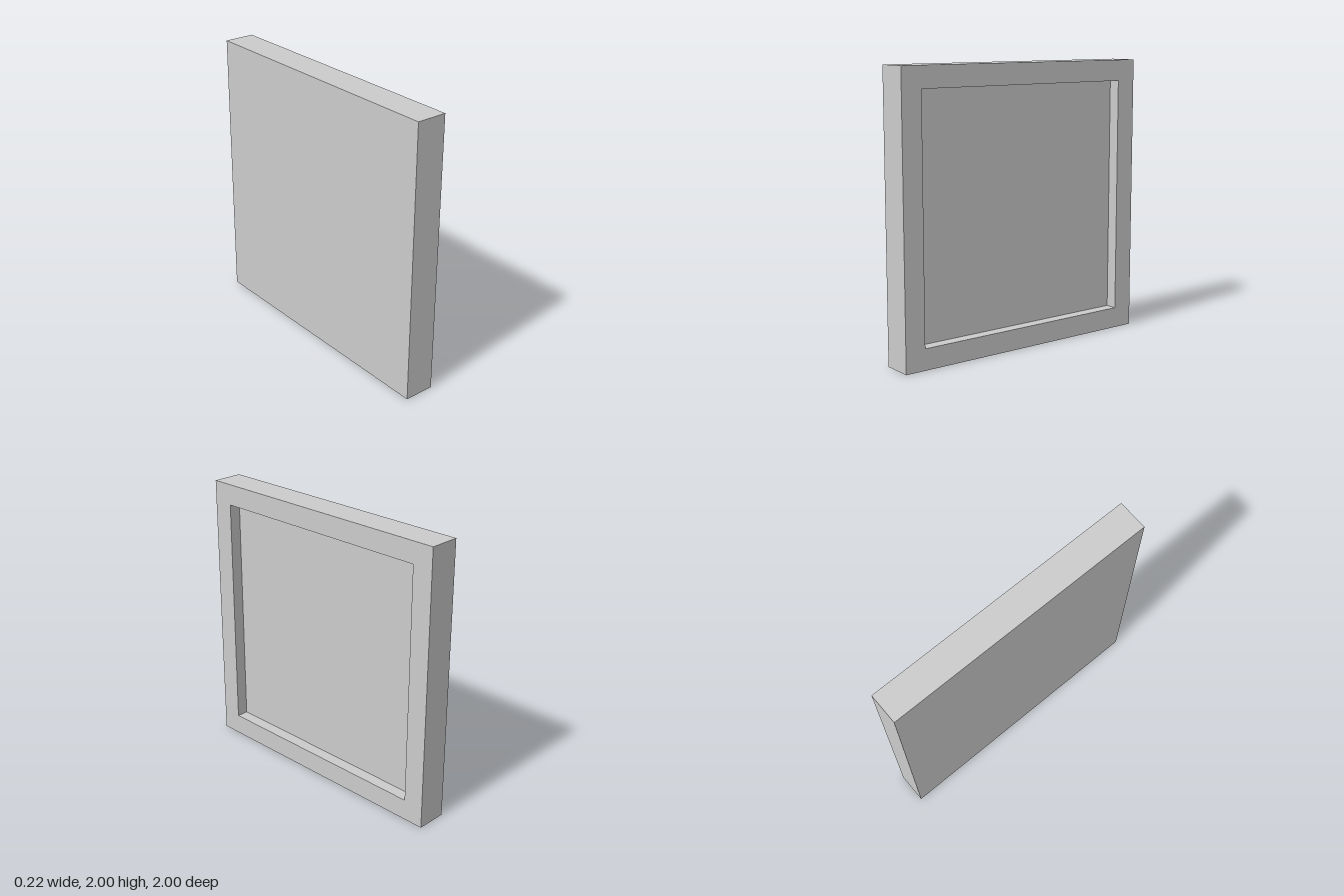
import * as THREE from 'three';

const HALF = 1;          // half of the square's side
const INNER = 0.85;      // half of the recess's side
const BACK = -0.11;      // closed face
const FLOOR = 0.025;     // bottom of the recess
const FRONT = 0.11;      // rim around the recess

export function createModel() {
  const group = new THREE.Group();
  group.name = 'recessedPanel';

  // Square tray: a four-sided lathe of [half side, height] points, turned to open towards +x
  const profile = [
    [0, BACK], [HALF, BACK], [HALF, FRONT], [INNER, FRONT], [INNER, FLOOR], [0, FLOOR],
  ].map(([half, height]) => new THREE.Vector2(half * Math.SQRT2, height));

  const geometry = new THREE.LatheGeometry(profile, 4, Math.PI / 4).toNonIndexed();
  geometry.rotateZ(-Math.PI / 2);
  geometry.translate(0, HALF, 0);
  geometry.computeVertexNormals();

  const material = new THREE.MeshStandardMaterial({ color: 0xcccccc, flatShading: true });
  const panel = new THREE.Mesh(geometry, material);
  panel.name = 'framedPanel';
  group.add(panel);

  return group;
}
